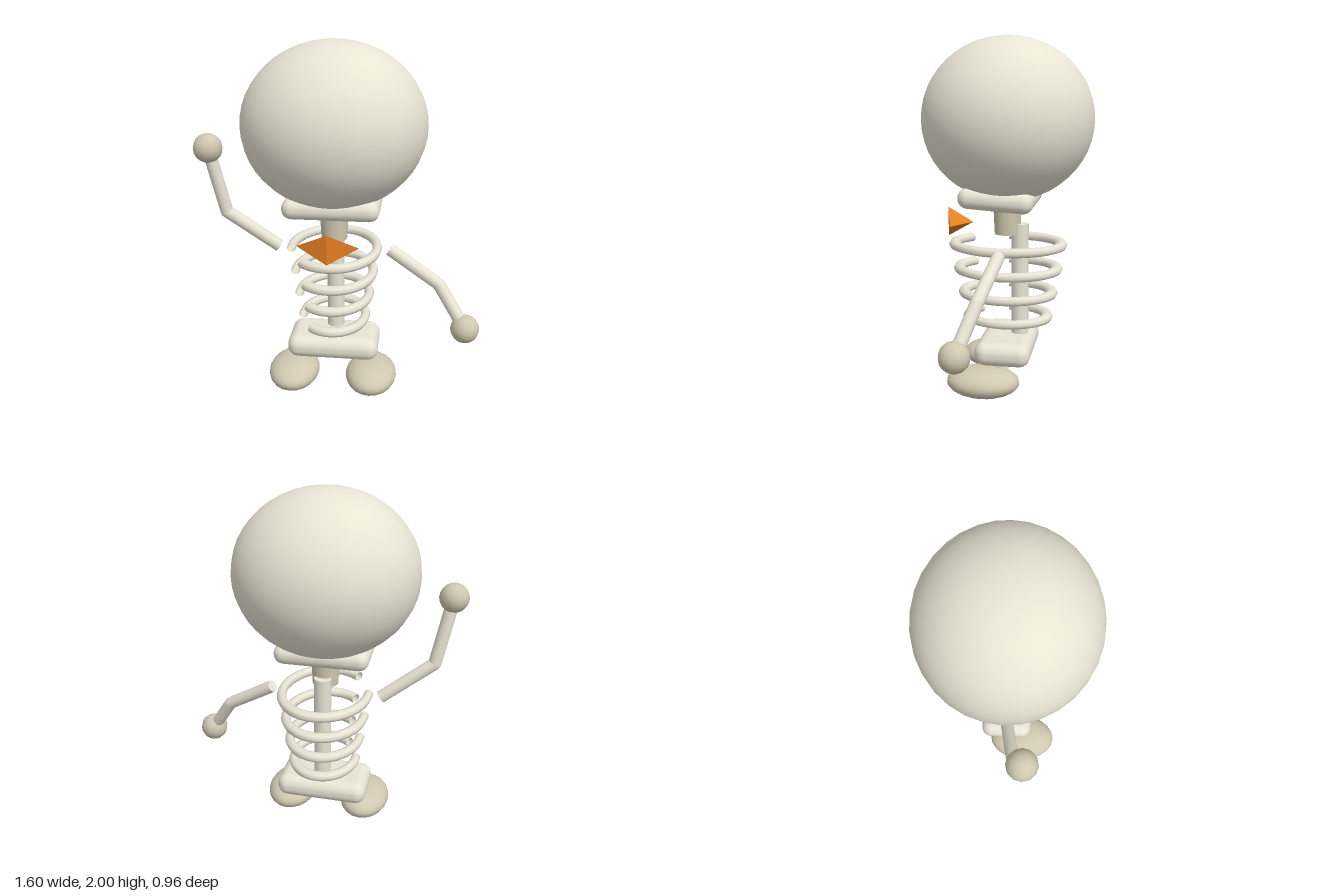
import * as THREE from 'three';
import { RoundedBoxGeometry } from 'three/addons/geometries/RoundedBoxGeometry.js';

const CX = -0.042; // body axis
const bone = new THREE.MeshStandardMaterial({ color: 0xe8e4d4 });
const tan = new THREE.MeshStandardMaterial({ color: 0xd0c8b0 });
const orange = new THREE.MeshStandardMaterial({ color: 0xe67e22, flatShading: true });

export function createModel() {
  const model = new THREE.Group();
  model.name = 'skeletonFigure';

  const add = (name, geometry, material, x, y, z, parent = model) => {
    const mesh = new THREE.Mesh(geometry, material);
    mesh.name = name;
    mesh.position.set(x, y, z);
    parent.add(mesh);
    return mesh;
  };

  // cylinder between two points
  const rod = (name, a, b, r, parent) => {
    const dir = b.clone().sub(a);
    const mid = a.clone().add(b).multiplyScalar(0.5);
    const mesh = add(name, new THREE.CylinderGeometry(r, r, dir.length(), 12), bone, mid.x, mid.y, mid.z, parent);
    mesh.quaternion.setFromUnitVectors(new THREE.Vector3(0, 1, 0), dir.normalize());
  };

  // head and jaw
  add('head', new THREE.SphereGeometry(1, 32, 24), bone, CX, 1.545, 0.002).scale.set(0.508, 0.455, 0.482);
  add('jaw', new RoundedBoxGeometry(0.53, 0.115, 0.415, 5, 0.055), bone, CX, 1.115, 0.038).rotation.x = -0.07;

  // neck, spine, pelvis
  add('neck', new THREE.CylinderGeometry(0.084, 0.074, 0.2, 16), tan, CX, 0.995, 0.005);
  add('spine', new THREE.CylinderGeometry(0.05, 0.05, 0.71, 12), bone, CX, 0.6, -0.068);
  add('pelvis', new RoundedBoxGeometry(0.53, 0.135, 0.315, 5, 0.062), bone, CX, 0.243, 0.002);

  // open oval ribs, each smaller than the one above
  const gapStart = THREE.MathUtils.degToRad(128);
  const gapEnd = THREE.MathUtils.degToRad(174);
  const arc = Math.PI * 2 - (gapEnd - gapStart);
  const ribMaterial = bone.clone();
  ribMaterial.side = THREE.DoubleSide;
  for (let i = 0; i < 4; i++) {
    const geometry = new THREE.TorusGeometry(0.246 - i * 0.021, 0.027, 8, 40, arc);
    geometry.rotateZ(gapEnd);
    geometry.scale(1, 1.25, 1);
    geometry.rotateX(Math.PI / 2);
    add('rib' + (i + 1), geometry, ribMaterial, CX, 0.835 - i * 0.142, 0.002);
  }

  // bow tie: two three-sided cones, base to base, points outwards
  const bow = new THREE.Group();
  bow.name = 'bowTie';
  model.add(bow);
  for (const side of [-1, 1]) {
    const geometry = new THREE.ConeGeometry(0.097, 0.168, 3);
    geometry.rotateY(Math.PI); // one corner faces the back
    geometry.rotateZ(-side * Math.PI / 2);
    add(side > 0 ? 'bowLeft' : 'bowRight', geometry, orange, CX + side * 0.084, 0.956, 0.302, bow);
  }

  // arms: shoulder, elbow, hand
  const arms = {
    leftArm: [[0.275, 0.835, 0.0], [0.56, 0.66, 0.06], [0.713, 0.43, 0.142]],
    rightArm: [[-0.36, 0.835, 0.01], [-0.645, 1.05, 0.06], [-0.72, 1.425, 0.102]],
  };
  for (const [name, points] of Object.entries(arms)) {
    const arm = new THREE.Group();
    arm.name = name;
    model.add(arm);
    const [shoulder, elbow, hand] = points.map((p) => new THREE.Vector3(...p));
    rod('upperArm', shoulder, elbow, 0.036, arm);
    rod('forearm', elbow, hand, 0.036, arm);
    add('elbow', new THREE.SphereGeometry(0.036, 12, 8), bone, elbow.x, elbow.y, elbow.z, arm);
    add('hand', new THREE.SphereGeometry(0.081, 12, 10), tan, hand.x, hand.y, hand.z, arm);
  }

  // legs and feet
  for (const side of [-1, 1]) {
    const leg = new THREE.Group();
    leg.name = side > 0 ? 'leftLeg' : 'rightLeg';
    model.add(leg);
    add('shin', new THREE.CylinderGeometry(0.04, 0.04, 0.12, 12), bone, CX + side * 0.172, 0.17, 0.01, leg);
    add('foot', new THREE.SphereGeometry(1, 20, 14), tan, CX + side * 0.228, 0.086, 0.107, leg).scale.set(0.148, 0.086, 0.207);
  }

  return model;
}
